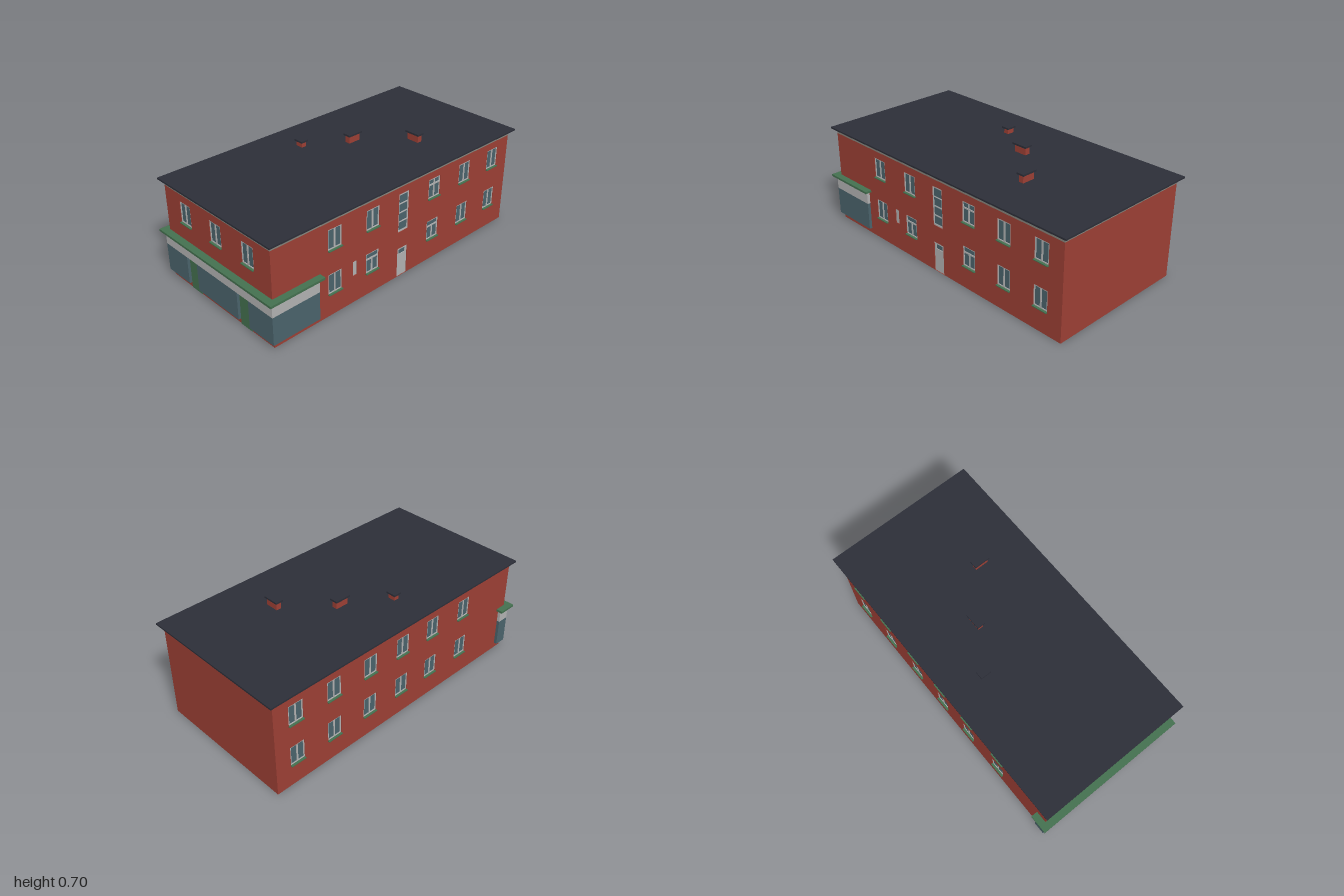
import * as THREE from 'three';

const mat = (color) => new THREE.MeshStandardMaterial({ color });

export function createModel() {
  const brick = mat(0x9c3f34), trim = mat(0x85837b), roofing = mat(0x2c2e38);
  const glass = mat(0x4a636b), green = mat(0x44704f), pale = mat(0xb2b2b2);
  const model = new THREE.Group();
  model.name = 'building';

  // Box given by its minimum and maximum on each axis
  function box(parent, name, material, x0, x1, y0, y1, z0, z1) {
    const mesh = new THREE.Mesh(new THREE.BoxGeometry(x1 - x0, y1 - y0, z1 - z0), material);
    mesh.position.set((x0 + x1) / 2, (y0 + y1) / 2, (z0 + z1) / 2);
    mesh.name = name;
    parent.add(mesh);
    return mesh;
  }

  function rect(Type, x0, x1, y0, y1) {
    const p = new Type();
    p.moveTo(x0, y0).lineTo(x1, y0).lineTo(x1, y1).lineTo(x0, y1).closePath();
    return p;
  }

  // Flat panel with rectangular holes, from z = back to z = back + depth
  function panel(parent, name, material, outline, holes, back, depth) {
    const shape = rect(THREE.Shape, ...outline);
    holes.forEach((h) => shape.holes.push(rect(THREE.Path, ...h)));
    const geo = new THREE.ExtrudeGeometry(shape, { depth, bevelEnabled: false });
    geo.translate(0, 0, back);
    const mesh = new THREE.Mesh(geo, material);
    mesh.name = name;
    parent.add(mesh);
  }

  const FRAME = 0.007, BAR = 0.005;

  // Pane rectangles for each style of window
  function panes([x0, x1, y0, y1], style) {
    const l = x0 + FRAME, r = x1 - FRAME, b = y0 + FRAME, t = y1 - FRAME, m = (x0 + x1) / 2;
    if (style === 'stair') {
      const step = (t - b) / 4;
      return [0, 1, 2, 3].map((i) => [l, r, b + i * step + 0.003, b + (i + 1) * step - 0.003]);
    }
    const bar = y0 + (y1 - y0) * 0.69;
    if (style === 'cross') {
      return [[l, m - BAR, b, bar - BAR], [m + BAR, r, b, bar - BAR],
        [l, m - BAR, bar + BAR, t], [m + BAR, r, bar + BAR, t]];
    }
    if (style === 'transom') {
      return [[l, m - BAR, b, bar - BAR], [m + BAR, r, b, bar - BAR], [l, r, bar + BAR, t]];
    }
    return [[l, m - BAR, b, t], [m + BAR, r, b, t]];
  }

  function addWindow(wall, area, style) {
    const [x0, x1, y0, y1] = area;
    const win = new THREE.Group();
    win.name = 'window';
    panel(win, 'windowFrame', pale, area, panes(area, style), -0.013, 0.01);
    box(win, 'windowGlass', glass, x0 + 0.002, x1 - 0.002, y0 + 0.002, y1 - 0.002, -0.01, -0.007);
    if (style !== 'stair') box(win, 'windowSill', green, x0 - 0.001, x1 + 0.001, y0 - 0.004, y0 + 0.001, -0.013, 0.011);
    wall.add(win);
  }

  // Wall with cornice; windows are {area, style}, other holes are plain areas
  function addWall(name, u0, u1, y0, windows, holes, position, turn) {
    const wall = new THREE.Group();
    wall.name = name;
    const openings = [...windows.map((w) => w.area), ...holes];
    panel(wall, 'brickwork', brick, [u0, u1, y0, 0.605], openings, -0.015, 0.015);
    box(wall, 'cornice', trim, u0, u1, 0.605, 0.638, -0.015, 0.001);
    windows.forEach((w) => addWindow(wall, w.area, w.style));
    wall.position.set(...position);
    wall.rotation.y = turn;
    model.add(wall);
    return wall;
  }

  const at = (u, y0, y1, style) => ({ area: [u - 0.05, u + 0.05, y0, y1], style });
  const LOW = [0.145, 0.275], HIGH = [0.428, 0.558];

  // Front wall above the shop, and the low base beneath it
  addWall('frontWall', -0.468, 0.466, 0.295,
    [-0.278, 0, 0.277].map((x) => at(x, 0.423, 0.558)), [], [0, 0, 0.955], 0);
  box(model, 'frontBase', brick, -0.468, 0.466, 0, 0.035, 0.94, 0.955);

  // Right wall: local u runs towards the back
  const rightWindows = [];
  for (const z of [0.52, 0.235, -0.275, -0.55, -0.82]) {
    rightWindows.push(at(-z, ...LOW, Math.abs(z) < 0.3 ? 'transom' : ''));
    rightWindows.push(at(-z, ...HIGH, z === -0.275 ? 'cross' : ''));
  }
  rightWindows.push({ area: [-0.027, 0.055, 0.308, 0.56], style: 'stair' });
  const doorArea = [-0.027, 0.055, 0.0005, 0.195], ventArea = [-0.387, -0.355, 0.18, 0.275];
  const right = addWall('rightWall', -0.955, 0.97, 0, rightWindows, [doorArea, ventArea],
    [0.466, 0, 0], Math.PI / 2);
  const lite = [-0.013, 0.041, 0.152, 0.183];
  panel(right, 'sideDoor', pale, doorArea, [lite], -0.013, 0.009);
  box(right, 'sideDoorGlass', glass, ...lite, -0.011, -0.008);
  box(right, 'ventPanel', pale, ...ventArea, -0.013, -0.004);

  // Left wall: local u runs towards the front
  const leftWindows = [];
  for (const z of [0.52, 0.24, -0.015, -0.275, -0.55, -0.82]) {
    leftWindows.push(at(z, ...LOW), at(z, ...HIGH));
  }
  addWall('leftWall', -0.97, 0.955, 0, leftWindows, [], [-0.468, 0, 0], -Math.PI / 2);
  addWall('backWall', -0.466, 0.468, 0, [], [], [0, 0, -0.97], Math.PI);

  // Roof slab
  box(model, 'roof', roofing, -0.498, 0.495, 0.637, 0.647, -1, 0.98);

  // Chimneys: body x, body z, top of body
  const chimneys = [
    [-0.274, -0.226, 0.112, 0.146, 0.68],
    [-0.105, -0.07, -0.186, -0.1, 0.694],
    [0.123, 0.208, -0.438, -0.406, 0.694],
  ];
  for (const [x0, x1, z0, z1, top] of chimneys) {
    const chimney = new THREE.Group();
    chimney.name = 'chimney';
    box(chimney, 'chimneyBody', brick, x0, x1, 0.64, top, z0, z1);
    box(chimney, 'chimneyCap', roofing, x0 - 0.009, x1 + 0.009, top - 0.001, top + 0.01, z0 - 0.009, z1 + 0.009);
    model.add(chimney);
  }

  // Shop front wrapping both front corners
  const shop = new THREE.Group();
  shop.name = 'shopFront';
  model.add(shop);
  box(shop, 'fascia', pale, -0.487, 0.485, 0.215, 0.297, 0.955, 0.975);
  for (const [x0, x1] of [[-0.487, -0.283], [-0.187, 0.183], [0.281, 0.485]]) {
    box(shop, 'shopGlass', glass, x0, x1, 0.035, 0.215, 0.955, 0.975);
  }
  for (const [x0, x1, z0] of [[0.466, 0.485, 0.65], [-0.487, -0.468, 0.9]]) {
    box(shop, 'sideFascia', pale, x0, x1, 0.215, 0.297, z0, 0.955);
    box(shop, 'sideGlass', glass, x0, x1, 0.035, 0.215, z0, 0.955);
  }
  for (const x of [-0.283, 0.183]) {
    box(shop, 'shopDoor', green, x, x + 0.097, 0, 0.215, 0.945, 0.958);
  }

  // Canopy: plan outline (x, -z) running round the front with a longer right return
  const canopy = new THREE.Shape([
    [-0.51, -0.88], [-0.51, -1], [0.508, -1], [0.508, -0.63],
    [0.46, -0.63], [0.46, -0.95], [-0.46, -0.95], [-0.46, -0.88],
  ].map(([x, y]) => new THREE.Vector2(x, y)));
  const canopyGeo = new THREE.ExtrudeGeometry(canopy, { depth: 0.014, bevelEnabled: false });
  canopyGeo.rotateX(-Math.PI / 2).translate(0, 0.299, 0);
  const canopyMesh = new THREE.Mesh(canopyGeo, green);
  canopyMesh.name = 'canopy';
  shop.add(canopyMesh);
  box(shop, 'canopyLip', green, -0.497, 0.495, 0.294, 0.3, 0.95, 0.987);

  return model;
}
